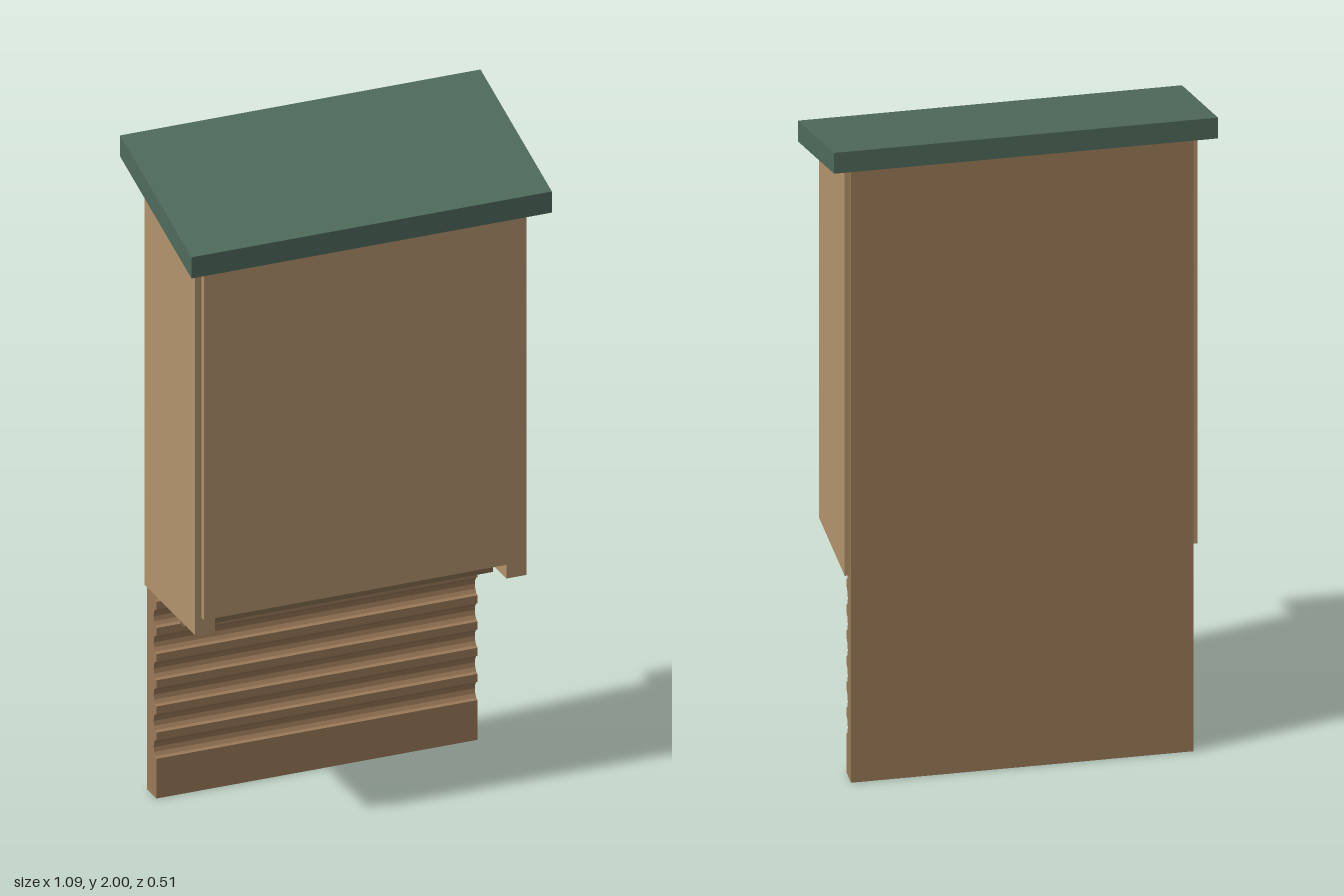
import * as THREE from 'three';

const material = (color) => new THREE.MeshStandardMaterial({ color, flatShading: true });

// Height of the sloping roof underside at depth z
const SLOPE = 0.304;
const eave = (z) => 1.78 + (0.255 - z) * SLOPE;

// Extrudes a [z, y] side profile to a width along x, centred on x
function board(name, profile, width, mat, x = 0) {
  const shape = new THREE.Shape(profile.map(([z, y]) => new THREE.Vector2(z, y)));
  const geometry = new THREE.ExtrudeGeometry(shape, { depth: width, bevelEnabled: false });
  geometry.translate(0, 0, -width / 2);
  geometry.rotateY(-Math.PI / 2);
  const mesh = new THREE.Mesh(geometry, mat);
  mesh.name = name;
  mesh.position.x = x;
  return mesh;
}

// Upright panel whose top is cut to the roof slope
const panel = (back, front, bottom) => [
  [back, bottom], [front, bottom], [front, eave(front)], [back, eave(back)],
];

export function createModel() {
  const group = new THREE.Group();
  group.name = 'batHouse';
  const wood = material(0xb3946d);
  const backWood = material(0x9b7a59);
  const baffleWood = material(0x80684b);
  const roofPaint = material(0x4f6b5c);

  // Back board with rounded landing grooves across its front
  const backProfile = [[-0.2, 0], [-0.135, 0]];
  const steps = 6;
  for (let y = 0.15; y < 1.8; y += 0.0805) {
    for (let i = 0; i <= steps; i++) {
      const a = (i / steps) * Math.PI;
      backProfile.push([-0.135 - 0.019 * Math.sin(a), y - 0.028 * Math.cos(a)]);
    }
  }
  backProfile.push([-0.135, eave(-0.135)], [-0.2, eave(-0.2)]);
  group.add(board('backBoard', backProfile, 0.97, backWood));

  // Side walls
  for (const side of [1, -1]) {
    group.add(board(side > 0 ? 'leftWall' : 'rightWall',
      panel(-0.185, 0.175, 0.64), 0.06, wood, side * 0.47));
  }

  // Front panel and the inner baffle hanging below it
  group.add(board('frontPanel', panel(0.175, 0.19, 0.69), 0.96, wood));
  group.add(board('innerBaffle', panel(-0.013, 0.02, 0.588), 0.93, baffleWood));

  // Sloping roof
  const thick = 0.065;
  group.add(board('roof', [
    [-0.253, eave(-0.253)], [0.253, eave(0.253)],
    [0.253, eave(0.253) + thick], [-0.253, eave(-0.253) + thick],
  ], 1.088, roofPaint));

  return group;
}
